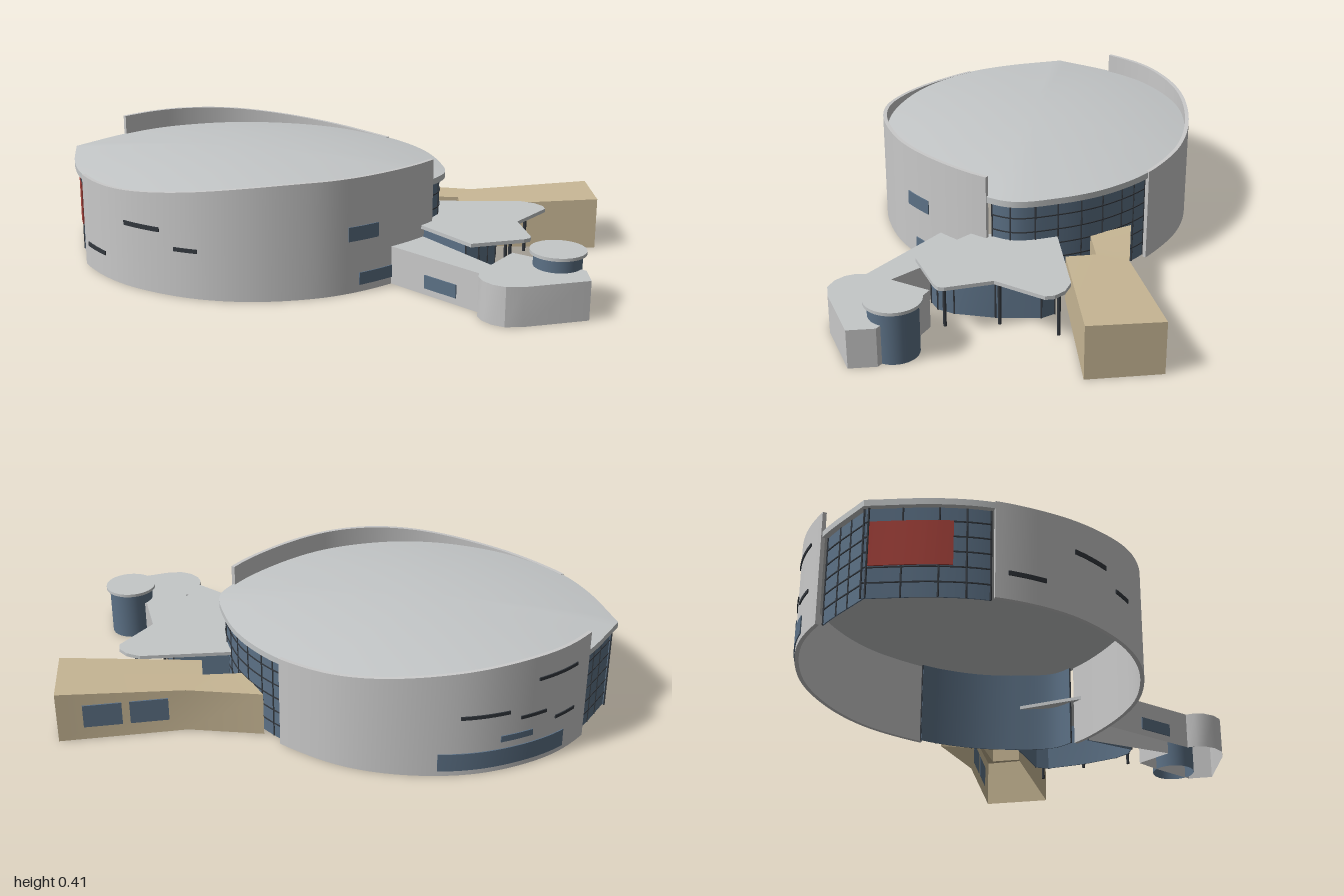
import * as THREE from 'three';
import { toCreasedNormals } from 'three/addons/utils/BufferGeometryUtils.js';

const mat = (name, color) => {
  const m = new THREE.MeshStandardMaterial({ color, side: THREE.DoubleSide });
  m.name = name;
  return m;
};
const V2 = (p) => new THREE.Vector2(p[0], p[1]);

// Surface through rows of points
function grid(rows) {
  const n = rows[0].length, pos = [], idx = [];
  rows.forEach((r) => r.forEach((p) => pos.push(...p)));
  for (let i = 0; i < rows.length - 1; i++) {
    for (let j = 0; j < n - 1; j++) {
      const a = i * n + j, d = a + n;
      idx.push(a, a + 1, d + 1, a, d + 1, d);
    }
  }
  const g = new THREE.BufferGeometry();
  g.setAttribute('position', new THREE.Float32BufferAttribute(pos, 3));
  g.setIndex(idx);
  return toCreasedNormals(g, 0.5);
}

// Plan path moved sideways; positive is outward
function offset(path, d) {
  return path.map((p, i) => {
    const a = path[Math.max(i - 1, 0)], b = path[Math.min(i + 1, path.length - 1)];
    const t = b.clone().sub(a).normalize();
    return new THREE.Vector2(p.x - t.y * d, p.y + t.x * d);
  });
}

// Part of a path between two x values (x runs one way along the path)
function cut(path, x0, x1) {
  const out = [];
  for (let i = 0; i < path.length; i++) {
    const p = path[i], q = path[i + 1];
    if (p.x >= x0 && p.x <= x1) out.push(p);
    if (!q) continue;
    const hits = [x0, x1].map((x) => (x - p.x) / (q.x - p.x)).filter((t) => t > 0 && t < 1);
    hits.sort((a, b) => a - b).forEach((t) => out.push(p.clone().lerp(q, t)));
  }
  return out;
}

// Thin upright wall along a plan path, with closed ends
function ribbon(path, y0, top, dOut, dIn) {
  const o = offset(path, dOut), n = offset(path, dIn);
  const h = (p) => (typeof top === 'function' ? top(p.x) : top);
  const row = (line, up) => line.map((p, i) => [p.x, up ? h(path[i]) : y0, p.y]);
  const rows = [row(o, 0), row(o, 1), row(n, 1), row(n, 0), row(o, 0)];
  const capPoint = (j) => [0, 1, 2].map((k) => (rows[0][j][k] + rows[2][j][k]) / 2);
  const c0 = capPoint(0), c1 = capPoint(path.length - 1);
  return grid(rows.map((r) => [c0, ...r, c1]));
}

function flatTop(pts, h) {
  const g = new THREE.ShapeGeometry(new THREE.Shape(pts.map((p) => V2([p[0], -p[1]]))));
  g.rotateX(-Math.PI / 2);
  const a = g.attributes.position;
  for (let i = 0; i < a.count; i++) a.setY(i, h(a.getX(i)));
  g.computeVertexNormals();
  return g;
}

export function createModel() {
  const root = new THREE.Group();
  root.name = 'building';
  const wallMat = mat('wall grey', 0xc9c9c9), roofMat = mat('roof grey', 0xc4c7c8);
  const glass = mat('glass blue', 0x5c7186), dark = mat('dark frame', 0x33383e);
  const tan = mat('tan cladding', 0xc8b795), red = mat('red panel', 0xa8433c);

  const add = (geo, m, name, parent = root) => {
    const mesh = new THREE.Mesh(geo, m);
    mesh.name = name;
    parent.add(mesh);
    return mesh;
  };
  // Hollow block: walls and a top, open below
  const block = (pts, h, m, topMat, name) => {
    const g = new THREE.Group();
    g.name = name;
    const loop = [...pts, pts[0]];
    add(grid([loop.map((p) => [p[0], 0, p[1]]), loop.map((p) => [p[0], h(p[0]), p[1]])]), m, name + 'Walls', g);
    add(flatTop(pts, h), topMat, name + 'Top', g);
    root.add(g);
  };

  // Egg-shaped plan: left tip, front, right end, back
  const plan = [[-1, 0], [-0.9, 0.215], [-0.8, 0.355], [-0.65, 0.475], [-0.5, 0.54], [-0.29, 0.572], [-0.1, 0.545],
    [0.08, 0.465], [0.19, 0.38], [0.3, 0.25], [0.39, 0.1], [0.43, -0.03], [0.375, -0.18], [0.3, -0.3], [0.2, -0.4],
    [0.1, -0.468], [-0.1, -0.553], [-0.29, -0.575], [-0.5, -0.545], [-0.65, -0.48], [-0.8, -0.365], [-0.9, -0.225], [-1, 0]];
  const outline = new THREE.CatmullRomCurve3(plan.map((p) => new THREE.Vector3(p[0], 0, p[1])))
    .getPoints(176).map((p) => new THREE.Vector2(p.x, p.z));
  const halves = (path) => {
    let k = 0;
    path.forEach((p, i) => { if (p.x > path[k].x) k = i; });
    return [path.slice(0, k + 1), path.slice(k)];
  };
  const [front, back] = halves(outline);
  const [glassFront, glassBack] = halves(offset(outline, -0.02));

  // Domed roof slab
  const ring = (r, y) => outline.map((p) => [-0.29 + (p.x + 0.29) * r, y, p.y * r]);
  const roofRows = [ring(0, 0.313), ring(1, 0.313)];
  for (let i = 0; i <= 10; i++) {
    const r = 1 - i / 10;
    roofRows.push(ring(r, 0.335 + 0.049 * (1 - r * r)));
  }
  add(grid(roofRows), roofMat, 'domedRoof');

  // Two sweeping walls with rising tops
  const s = THREE.MathUtils.smoothstep;
  add(ribbon(cut(front, -0.8, 0.405), 0, (x) => 0.337 + 0.071 * s(x, -0.75, 0.1), 0.004, -0.01), wallMat, 'frontWall');
  add(ribbon(cut(back, -0.9, 0.12), 0, (x) => 0.408 - 0.071 * s(x, -0.82, 0.15), 0.004, -0.01), wallMat, 'backWall');

  // Curtain glass at both ends, with frames
  const curtain = (path, name, posts) => {
    const g = new THREE.Group();
    g.name = name;
    root.add(g);
    add(ribbon(path, 0, 0.314, 0, -0.004), glass, name + 'Pane', g);
    for (let y = 0.052; y < 0.3; y += 0.053) add(ribbon(path, y - 0.002, y + 0.002, 0.003, -0.001), dark, name + 'Rail', g);
    for (let i = 0; i <= posts; i++) {
      const p = path[Math.round((i / posts) * (path.length - 1))];
      add(new THREE.BoxGeometry(0.005, 0.314, 0.005), dark, name + 'Post', g).position.set(p.x, 0.157, p.y);
    }
  };
  curtain(cut(glassFront, -1, -0.79), 'leftFrontGlass', 4);
  curtain(cut(glassBack, -1, -0.885), 'leftBackGlass', 3);
  curtain([...cut(glassFront, 0.39, 0.5), ...cut(glassBack, 0.1, 0.5).slice(1)], 'rightGlass', 8);
  add(ribbon(cut(glassFront, -0.975, -0.86), 0.11, 0.265, 0.006, 0.001), red, 'redPanel');

  // Windows and slots: x from, x to, y from, y to
  const windows = (half, list, m, name) => list.forEach(([x0, x1, y0, y1]) =>
    add(ribbon(cut(half, x0, x1), y0, y1, 0.008, 0.002), m, name));
  windows(front, [[-0.57, -0.425, 0.222, 0.238], [-0.77, -0.67, 0.082, 0.097], [-0.37, -0.285, 0.163, 0.177]], dark, 'frontSlot');
  windows(front, [[0.185, 0.265, 0.187, 0.238], [0.215, 0.31, 0.026, 0.07]], glass, 'frontWindow');
  windows(back, [[-0.86, -0.74, 0.315, 0.327], [-0.655, -0.5, 0.215, 0.228], [-0.77, -0.69, 0.185, 0.197],
    [-0.86, -0.8, 0.145, 0.157]], dark, 'backSlot');
  windows(back, [[-0.73, -0.63, 0.112, 0.135], [-0.83, -0.43, 0.02, 0.085]], glass, 'backWindow');

  // Tan wing with windows on its back
  block([[0.29, -0.275], [0.43, -0.31], [0.46, -0.21], [0.95, -0.33], [0.88, -0.575], [0.46, -0.425], [0.19, -0.408]],
    (x) => 0.16 + 0.06 * Math.max(0, x - 0.46), tan, tan, 'tanWing');
  const wingStart = V2([0.88, -0.575]), wingEnd = V2([0.46, -0.425]);
  [[0.2, 0.5], [0.56, 0.86]].forEach(([a, b]) => add(ribbon([wingStart.clone().lerp(wingEnd, a),
    wingStart.clone().lerp(wingEnd, b)], 0.05, 0.135, 0.005, -0.001), glass, 'wingWindow'));

  // Low grey annex with one window
  block([[0.295, 0.245], [0.64, 0.43], [0.645, 0.465], [0.665, 0.497], [0.7, 0.522], [0.745, 0.532], [0.8, 0.515],
    [1, 0.4], [0.975, 0.31], [0.8, 0.23], [0.715, 0.2], [0.665, 0.34], [0.385, 0.115]], () => 0.137, wallMat, roofMat, 'annex');
  add(ribbon([V2([0.44, 0.323]), V2([0.56, 0.387])], 0.025, 0.072, 0.005, -0.001), glass, 'annexWindow');

  // Round glass tower with a cap
  add(new THREE.CylinderGeometry(0.082, 0.082, 0.182, 32, 1, true), glass, 'towerGlass').position.set(0.877, 0.091, 0.28);
  add(new THREE.CylinderGeometry(0.095, 0.095, 0.011, 32), roofMat, 'towerCap').position.set(0.877, 0.187, 0.28);

  // Glazed entrance under a notched canopy on columns
  const lobby = [[0.39, 0.12], [0.56, 0.23], [0.6, 0.2], [0.62, 0.14], [0.625, 0], [0.605, -0.15], [0.57, -0.19], [0.37, -0.165]].map(V2);
  add(ribbon(lobby, 0, 0.17, 0, -0.004), glass, 'entranceGlass');
  lobby.slice(1, 7).forEach((p) =>
    add(new THREE.BoxGeometry(0.005, 0.17, 0.005), dark, 'entrancePost').position.set(p.x, 0.085, p.y));
  const canopy = [[0.38, 0.125], [0.585, 0.275], [0.75, 0.178], [0.768, 0.16], [0.768, 0.14], [0.7, -0.01],
    [0.775, -0.185], [0.765, -0.215], [0.73, -0.243], [0.675, -0.255], [0.36, -0.17]];
  const slab = new THREE.ExtrudeGeometry(new THREE.Shape(canopy.map((p) => V2([p[0], -p[1]]))), { depth: 0.013, bevelEnabled: false });
  slab.rotateX(-Math.PI / 2);
  add(slab, roofMat, 'entranceCanopy').position.y = 0.168;
  [[0.7, 0.155], [0.66, -0.02], [0.7, -0.22]].forEach(([x, z]) =>
    add(new THREE.CylinderGeometry(0.006, 0.006, 0.17, 10), dark, 'canopyColumn').position.set(x, 0.085, z));

  return root;
}
